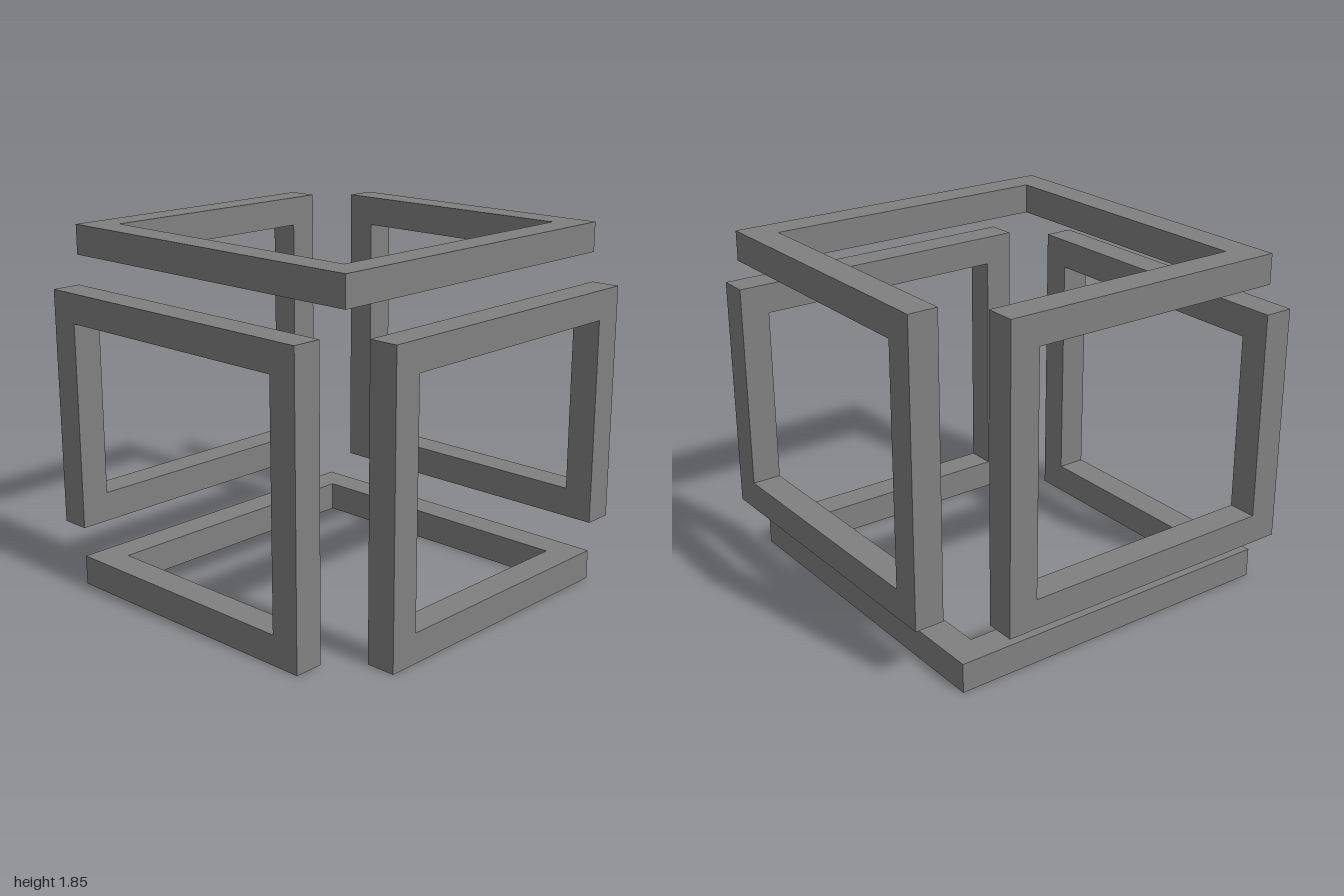
import * as THREE from 'three';

// One square bar folded into a closed loop of eighteen straight runs along the edges of a cube.
const UNIT = 2 / 13; // bar thickness; corners are counted in whole bar thicknesses

// Bar centre at each corner, [x, y, z] from the left, bottom and back
const CORNERS = [
  [12, 2, 2], [12, 11, 2], [12, 11, 11], // right upright, right top rail
  [1, 11, 11], [1, 11, 0], [10, 11, 0], // front, left and back top rails
  [10, 2, 0], [0, 2, 0], [0, 9, 0], // back upright, back lower rail, back corner
  [0, 9, 10], [0, 0, 10], [0, 0, 1], // left side frame
  [11, 0, 1], [11, 0, 12], [2, 0, 12], // bottom rails
  [2, 9, 12], [12, 9, 12], [12, 2, 12], // front frame, front corner upright
];

export function createModel() {
  const model = new THREE.Group();
  model.name = 'foldedCubeLoop';
  const grey = new THREE.MeshStandardMaterial({ color: 0x808080 });
  grey.name = 'grey';

  const names = ['rail', 'upright'];
  CORNERS.forEach((corner, i) => {
    const a = new THREE.Vector3(...corner);
    const b = new THREE.Vector3(...CORNERS[(i + 1) % CORNERS.length]);
    const run = b.clone().sub(a);
    const length = run.length();
    const dir = run.normalize();

    // Each bar fills its first corner and stops short of the next, so none overlap
    const size = [dir.x, dir.y, dir.z].map((d) => (d !== 0 ? length : 1) * UNIT);
    const bar = new THREE.Mesh(new THREE.BoxGeometry(...size), grey);
    const centre = a.addScaledVector(dir, (length - 1) / 2).addScalar(0.5).multiplyScalar(UNIT);
    bar.position.set(centre.x - 1, centre.y, centre.z - 1);
    bar.name = `${names[dir.y !== 0 ? 1 : 0]}${i + 1}`;
    model.add(bar);
  });
  return model;
}
